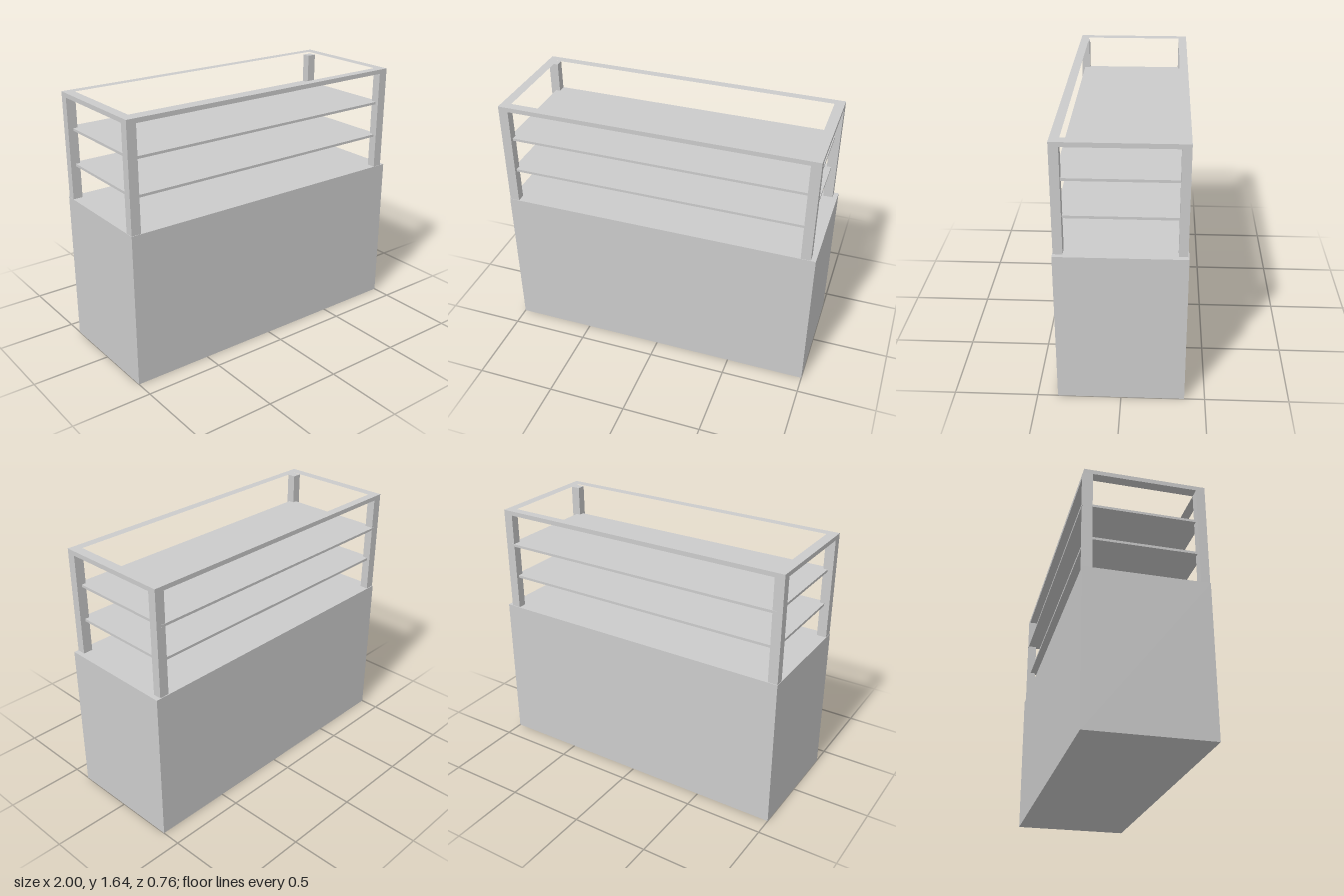
import * as THREE from 'three';

const material = new THREE.MeshStandardMaterial({ color: 0xcccccc, flatShading: true });

// Box given by its extents on each axis
function block(name, [x0, x1], [y0, y1], [z0, z1]) {
  const mesh = new THREE.Mesh(new THREE.BoxGeometry(x1 - x0, y1 - y0, z1 - z0), material);
  mesh.name = name;
  mesh.position.set((x0 + x1) / 2, (y0 + y1) / 2, (z0 + z1) / 2);
  return mesh;
}

export function createModel() {
  const model = new THREE.Group();
  model.name = 'counterWithShelfRack';

  const baseTop = 0.967, railBottom = 1.61, rackTop = 1.638;
  // Outer and inner edges of the rack, which sits slightly off centre on the base
  const left = [0.909, 0.97], right = [-0.998, -0.937];
  const front = [0.32, 0.375], back = [-0.373, -0.32];

  // Solid base cabinet
  model.add(block('base', [-1, 1], [0, baseTop], [-0.378, 0.378]));

  // Corner posts
  const rack = new THREE.Group();
  rack.name = 'rack';
  for (const [xName, x] of [['Left', left], ['Right', right]])
    for (const [zName, z] of [['front', front], ['back', back]])
      rack.add(block(`${zName}${xName}Post`, x, [baseTop, railBottom], z));

  // Open top frame, one piece with a rectangular hole
  const rectangle = (path, x0, x1, z0, z1) =>
    path.moveTo(x0, -z0).lineTo(x1, -z0).lineTo(x1, -z1).lineTo(x0, -z1).closePath();
  const outline = new THREE.Shape();
  rectangle(outline, right[0], left[1], back[0], front[1]);
  const opening = new THREE.Path();
  rectangle(opening, right[1], left[0], back[1], front[0]);
  outline.holes.push(opening);
  const frameGeometry = new THREE.ExtrudeGeometry(outline, { depth: rackTop - railBottom, bevelEnabled: false });
  frameGeometry.rotateX(-Math.PI / 2);
  const frame = new THREE.Mesh(frameGeometry, material);
  frame.name = 'topFrame';
  frame.position.y = railBottom;
  rack.add(frame);

  // Thin shelves let into the posts; the upper one reaches just past the back
  rack.add(block('lowerShelf', [-0.965, 0.937], [1.176, 1.192], [-0.355, 0.355]));
  rack.add(block('upperShelf', [-0.965, 0.937], [1.401, 1.417], [-0.376, 0.355]));
  model.add(rack);

  return model;
}
